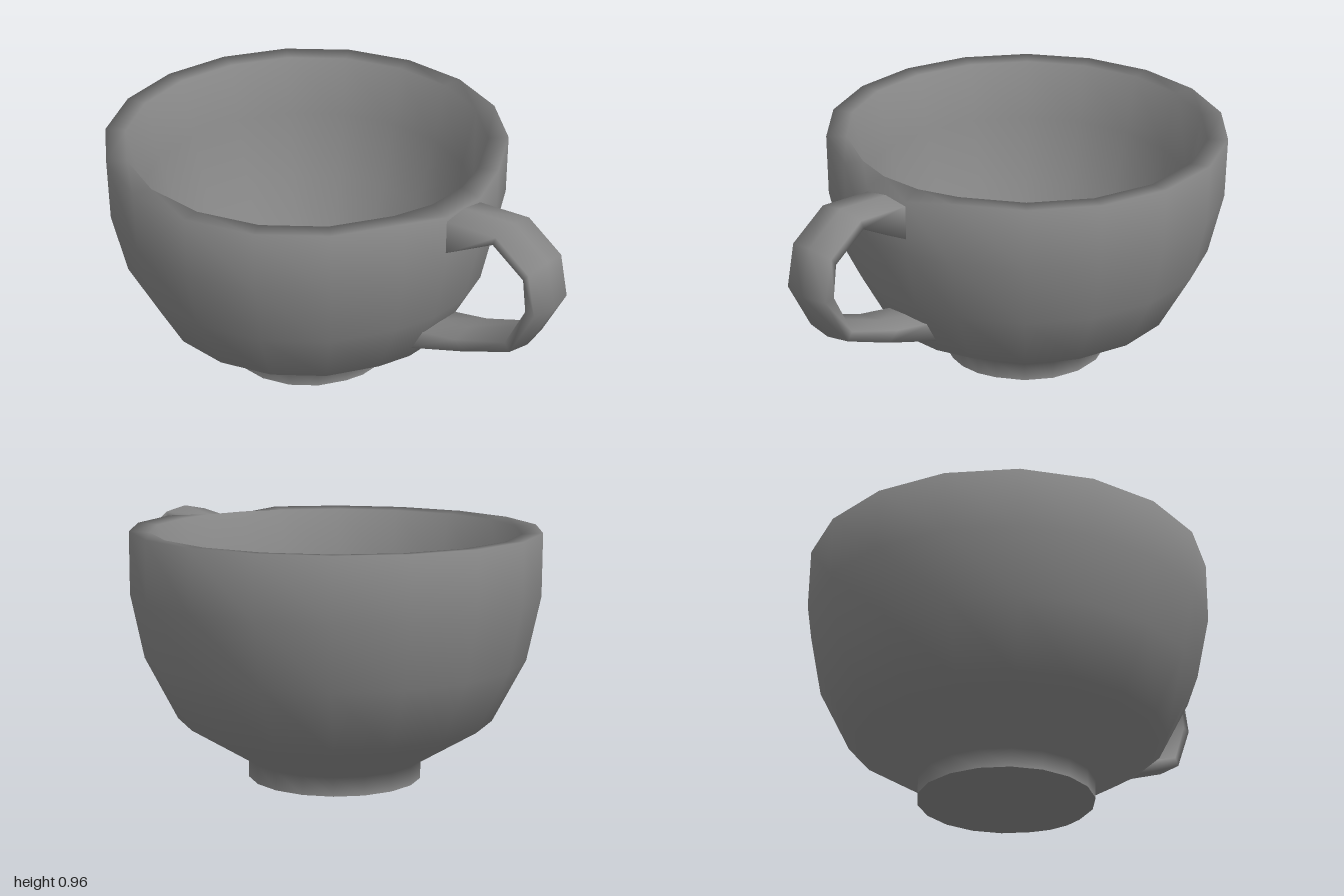
import * as THREE from 'three';

const AXIS_X = -0.217; // the bowl sits off centre to leave room for the handle
const material = new THREE.MeshStandardMaterial({ color: 0x888888 });

// Column angles: every 20 degrees, with the column behind the handle split in two
const angles = [97];
for (let a = 110; a <= 430; a += 20) angles.push(a);
angles.push(443, 457);

function revolve(name, profile) {
  const points = profile.map(([r, y]) => new THREE.Vector2(r, y));
  const steps = angles.length - 1;
  const geometry = new THREE.LatheGeometry(points, steps);
  const { position, normal } = geometry.attributes;
  const up = new THREE.Vector3(0, 1, 0);
  const v = new THREE.Vector3();
  angles.forEach((angle, i) => {
    const turn = THREE.MathUtils.degToRad(angle) - (i / steps) * Math.PI * 2;
    const nearHandle = i === 0 || i >= steps - 1;
    for (let j = 0; j < points.length; j++) {
      const k = i * points.length + j;
      for (const attribute of [position, normal]) {
        v.fromBufferAttribute(attribute, k).applyAxisAngle(up, turn);
        attribute.setXYZ(k, v.x, v.y, v.z);
      }
      // The wall bulges slightly and its rim dips where it meets the handle
      if (nearHandle) position.setX(k, position.getX(k) * 1.015);
      if (nearHandle && points[j].x > 0.75 && points[j].y > 0.95) position.setY(k, 0.937);
    }
  });
  const mesh = new THREE.Mesh(geometry, material);
  mesh.name = name;
  mesh.position.x = AXIS_X;
  return mesh;
}

// Handle stations: outer crest x, y, inner crest x, y and crest height
const stations = [
  [0.53, 0.93, 0.53, 0.755, 0.01],
  [0.575, 0.935, 0.575, 0.775, 0.015],
  [0.80, 0.962, 0.775, 0.89, 0.02],
  [0.955, 0.865, 0.91, 0.805, 0.02],
  [1.0, 0.69, 0.92, 0.70, 0.02],
  [0.89, 0.485, 0.85, 0.54, 0.015],
  [0.68, 0.395, 0.62, 0.44, 0.01],
  [0.39, 0.285, 0.42, 0.385, 0.003],
];

function buildHandle() {
  const half = 0.096;
  const positions = [];
  const indices = [];
  stations.forEach(([ox, oy, ix, iy, crest], s) => {
    const t = crest / Math.hypot(ix - ox, iy - oy);
    const dx = (ix - ox) * t;
    const dy = (iy - oy) * t;
    // Six-sided section with a low crest outside and inside
    positions.push(
      ox, oy, 0, ox + dx, oy + dy, half, ix - dx, iy - dy, half,
      ix, iy, 0, ix - dx, iy - dy, -half, ox + dx, oy + dy, -half,
    );
    if (s === 0) return;
    for (let j = 0; j < 6; j++) {
      const a = (s - 1) * 6 + j;
      const b = (s - 1) * 6 + ((j + 1) % 6);
      indices.push(a, b, a + 6, b, b + 6, a + 6);
    }
  });
  const geometry = new THREE.BufferGeometry();
  geometry.setAttribute('position', new THREE.Float32BufferAttribute(positions, 3));
  geometry.setIndex(indices);
  geometry.computeVertexNormals();
  const mesh = new THREE.Mesh(geometry, material);
  mesh.name = 'handle';
  return mesh;
}

export function createModel() {
  const cup = new THREE.Group();
  cup.name = 'cup';
  cup.add(
    // Foot, outer wall, flat rim and tapering inner wall
    revolve('bowl', [
      [0.336, 0], [0.336, 0.073], [0.608, 0.24], [0.732, 0.48], [0.783, 0.725], [0.783, 0.963],
      [0.705, 0.957], [0.655, 0.72], [0.58, 0.45], [0.455, 0.19],
    ]),
    revolve('innerFloor', [[0.455, 0.19], [0, 0.19]]),
    revolve('underside', [[0, 0], [0.336, 0]]),
    buildHandle(),
  );
  return cup;
}
